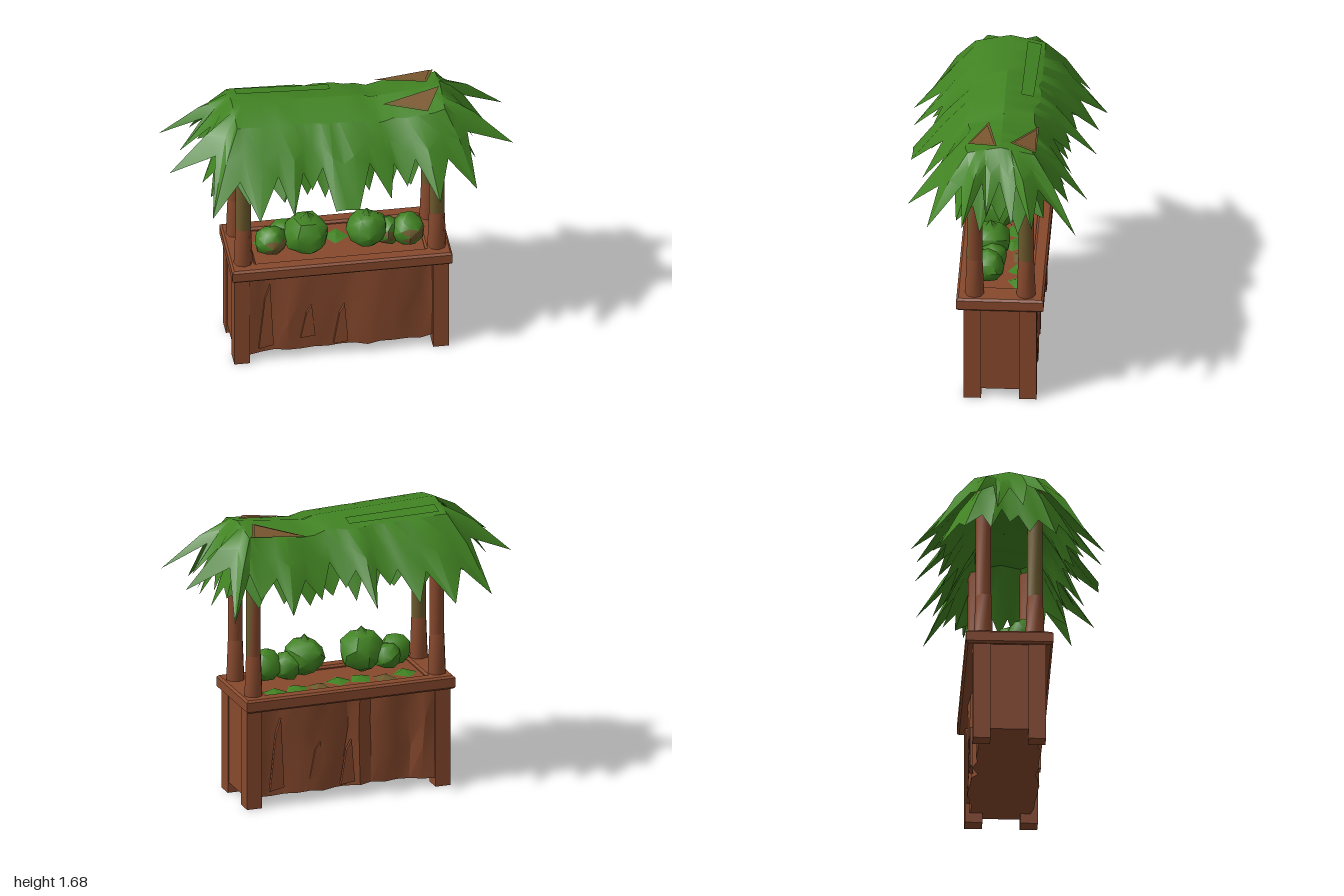
import * as THREE from 'three';
import { toCreasedNormals } from 'three/addons/utils/BufferGeometryUtils.js';

const mat = (name, color, side = THREE.FrontSide) => {
  const m = new THREE.MeshStandardMaterial({ color, side });
  m.name = name;
  return m;
};
const clamp = THREE.MathUtils.clamp;

// repeatable pseudo-random value in -1..1
const noise = (a, b = 0, c = 0) => {
  const s = Math.sin(a * 127.1 + b * 311.7 + c * 74.7) * 43758.5453;
  return (s - Math.floor(s)) * 2 - 1;
};

// gives triangles whose centre passes the test the second material
function paint(geo, test) {
  const a = geo.attributes.position;
  geo.clearGroups();
  for (let i = 0; i < a.count; i += 3) {
    const c = new THREE.Vector3();
    for (let j = i; j < i + 3; j++) c.add(new THREE.Vector3().fromBufferAttribute(a, j));
    geo.addGroup(i, 3, test(c.divideScalar(3)) ? 1 : 0);
  }
  return geo;
}

// sagging ridge: gentle slope, a small step, then up again
const ridgeY = x => x < 0.15 ? 1.655 + 0.025 * Math.min(1, (0.15 - x) / 0.7)
  : 1.635 + 0.042 * clamp((x - 0.2) / 0.4, 0, 1);
const shoulder = p => {
  const x = clamp(p.x * 0.85, -0.6, 0.6), z = clamp(p.z * 0.45, -0.2, 0.2);
  return new THREE.Vector3(x, ridgeY(x) - 0.22 * Math.abs(z), z);
};

// shell of pointed leaves around a ridge; tips run once round the roof
function canopy(tips, notch, bulge, drop) {
  const pos = [];
  const tri = (...v) => v.forEach(p => pos.push(p.x, p.y - drop, p.z));
  const n = tips.length;
  const ring = [];
  tips.forEach((t, i) => {
    const next = tips[(i + 1) % n];
    const mid = t.clone().lerp(next, 0.5);
    const s = shoulder(mid);
    const corner = Math.abs(mid.x) > 0.8;
    const blunt = mid.z > 0.5 && Math.abs(mid.x) < 0.03;
    const reach = blunt ? 0.99 : corner ? 0.46 : notch + 0.08 * noise(i, 3);
    ring.push({ s: shoulder(t), e: t });
    ring.push({ s, e: s.clone().lerp(mid, reach) });
  });
  ring.forEach((r, i) => {
    const isTip = i % 2 === 0;
    r.m = r.s.clone().lerp(r.e, isTip ? 0.45 : 0.5);
    r.m.y += isTip ? bulge : bulge * 0.3;
    const x = clamp(r.s.x, -0.54, 0.54);
    r.r = new THREE.Vector3(x, ridgeY(x), 0);
  });
  ring.forEach((a, i) => {
    const b = ring[(i + 1) % ring.length];
    for (const [u, v] of [['r', 's'], ['s', 'm'], ['m', 'e']]) {
      tri(a[u], b[v], a[v]);
      if (a[u].distanceTo(b[u]) > 1e-4) tri(a[u], b[u], b[v]);
    }
  });
  const g = new THREE.BufferGeometry();
  g.setAttribute('position', new THREE.Float32BufferAttribute(pos, 3));
  return toCreasedNormals(g, 0.6);
}

export function createModel() {
  const model = new THREE.Group();
  const wood = mat('brown wood', 0x87492d);
  const mossy = mat('mossy wood', 0x6d5a2d, THREE.DoubleSide);
  const leaf = mat('green leaf', 0x418322, THREE.DoubleSide);
  const dry = mat('dry leaf', 0x7a5630, THREE.DoubleSide);
  const add = (name, geo, material, x = 0, y = 0, z = 0, parent = model) => {
    const m = new THREE.Mesh(geo, material);
    m.name = name;
    m.position.set(x, y, z);
    parent.add(m);
    return m;
  };

  // counter body with rough, folded boards
  const body = new THREE.BoxGeometry(1.22, 0.55, 0.4, 16, 3, 1);
  const p = body.attributes.position;
  for (let i = 0; i < p.count; i++) {
    const x = p.getX(i), y = p.getY(i), z = p.getZ(i);
    const c = Math.round(x * 100), r = Math.round(y * 100);
    if (Math.abs(x) < 0.6) {
      p.setZ(i, z - Math.sign(z) * 0.02 * (1 + noise(c, 1, Math.sign(z)) + 0.4 * noise(c, r, Math.sign(z))));
      if (Math.abs(y) < 0.2) p.setX(i, x + 0.022 * noise(c, r));
      if (y < -0.27) p.setY(i, y + 0.008 * noise(c, 7));
    }
  }
  add('counterBody', toCreasedNormals(body, 0.6), wood, 0, 0.335, 0);

  // narrow wedge-shaped boards on front and back
  const wedge = new THREE.Shape([[-0.035, 0], [0.05, 0.01], [0.03, 0.24], [0, 0.19]].map(a => new THREE.Vector2(...a)));
  const wedgeGeo = new THREE.ExtrudeGeometry(wedge, { depth: 0.02, bevelEnabled: false });
  for (const side of [1, -1]) {
    [[-0.44, 0.09, 1.8], [-0.2, 0.14, 0.9], [-0.01, 0.08, 1.1]].forEach(([x, y, h]) => {
      const w = add('wedgeBoard', wedgeGeo, wood, x * side, y, 0.182 * side);
      w.scale.set(1, h, 1);
      w.rotation.y = side > 0 ? 0 : Math.PI;
    });
  }

  // corner legs
  for (const sx of [1, -1]) for (const sz of [1, -1]) {
    add('leg', new THREE.BoxGeometry(0.09, 0.6, 0.1), wood, 0.573 * sx, 0.3, 0.158 * sz);
  }

  // counter rim with a shallow tray
  const rect = (S, w, d) => {
    const s = new S();
    s.moveTo(-w, -d); s.lineTo(w, -d); s.lineTo(w, d); s.lineTo(-w, d); s.closePath();
    return s;
  };
  const rim = rect(THREE.Shape, 0.622, 0.237);
  rim.holes.push(rect(THREE.Path, 0.5, 0.18));
  const rimGeo = new THREE.ExtrudeGeometry(rim, { depth: 0.055, bevelSize: 0.012, bevelThickness: 0.012, bevelSegments: 1 });
  rimGeo.rotateX(-Math.PI / 2);
  add('counterRim', rimGeo, wood, 0, 0.602, 0);
  add('trayFloor', new THREE.BoxGeometry(1.02, 0.03, 0.38), wood, 0, 0.635, 0);

  // roof posts; the upper parts are weathered on some sides
  const weathered = (sx, sz) => c => {
    if (sx < 0) return sz > 0;
    return sz > 0 ? c.z > 0.02 : c.x > 0.015 || c.z > 0.015;
  };
  for (const sx of [1, -1]) for (const sz of [1, -1]) {
    const post = new THREE.Group();
    post.name = 'post';
    post.position.set(0.558 * sx, 0.66, 0.147 * sz);
    const piece = (a, b, h, y, test) => {
      const g = toCreasedNormals(new THREE.CylinderGeometry(a, b, h, 8).toNonIndexed(), 0.9);
      add('postPart', paint(g, test), [wood, mossy], 0, y + h / 2, 0, post);
    };
    piece(0.045, 0.055, 0.25, 0, () => false);
    piece(0.043, 0.045, 0.66, 0.25, weathered(sx, sz));
    model.add(post);
  }

  // leafy heads lying on the counter; the smaller ones have dry faces in front
  const heads = [[-0.18, 0.775, 0.07, 0.132], [-0.39, 0.755, 0.085, 0.095], [0.165, 0.78, 0.075, 0.118],
    [0.4, 0.755, 0.08, 0.1], [0.28, 0.74, 0.06, 0.088], [-0.31, 0.75, 0.01, 0.085]];
  heads.forEach(([x, y, z, r], k) => {
    const g = new THREE.IcosahedronGeometry(r, 1);
    const a = g.attributes.position;
    for (let i = 0; i < a.count; i++) {
      const q = [a.getX(i), a.getY(i), a.getZ(i)].map(v => Math.round(v / r * 50));
      const f = 1 + 0.09 * noise(q[0] + k, q[1], q[2]);
      a.setXYZ(i, a.getX(i) * f, a.getY(i) * f * 0.92, a.getZ(i) * f);
    }
    const small = r < 0.11;
    const isDry = c => small && c.z > 0.45 * r && c.x > -0.3 * r && Math.abs(c.y + 0.07 * r) < 0.42 * r;
    add('leafyHead', paint(toCreasedNormals(g, 0.7), isDry), [leaf, mossy], x, y, z);
    if (!small) {
      const top = add('topLeaf', new THREE.ConeGeometry(r * 0.5, 0.06, 4), leaf, x, y + r * 0.9, z);
      top.rotation.y = 0.4;
    }
  });

  // loose flat leaves in the tray, some dried
  for (let i = 0; i < 7; i++) {
    const l = add('looseLeaf', new THREE.ConeGeometry(0.09, 0.03, 4), i % 3 === 1 ? mossy : leaf,
      -0.4 + i * 0.135, 0.66, -0.06 + 0.05 * noise(i, 5));
    l.rotation.y = i;
  }

  // outer leaf tips [x, y, z] going once round the roof
  const tips = [
    [-0.78, 1.2, 0.45], [-0.52, 1.22, 0.55], [-0.32, 1.23, 0.54], [-0.2, 1.32, 0.42], [-0.08, 1.235, 0.53],
    [0.055, 1.235, 0.535], [0.25, 1.24, 0.46], [0.35, 1.28, 0.41], [0.52, 1.23, 0.53],
    [0.75, 1.22, 0.41], [0.99, 1.37, 0.2], [0.85, 1.36, 0.07], [0.88, 1.32, -0.08], [0.99, 1.37, -0.2],
    [0.78, 1.21, -0.44], [0.6, 1.32, -0.39], [0.44, 1.24, -0.49], [0.23, 1.28, -0.39], [0.08, 1.33, -0.38],
    [-0.06, 1.23, -0.52], [-0.18, 1.32, -0.4], [-0.32, 1.23, -0.52], [-0.52, 1.22, -0.56], [-0.78, 1.21, -0.45],
    [-0.99, 1.37, -0.2], [-0.89, 1.32, -0.08], [-0.84, 1.36, 0.07], [-0.99, 1.37, 0.2],
  ].map(t => new THREE.Vector3(...t));
  add('roofLeaves', canopy(tips, 0.57, 0.037, 0), leaf);

  // inner, steeper layer of shorter leaves
  const inner = tips.map((t, i) => {
    const m = t.clone().lerp(tips[(i + 1) % tips.length], 0.5);
    return new THREE.Vector3(m.x * 0.86, 1.29 + 0.05 * noise(i, 9), m.z * 0.8);
  });
  add('innerLeaves', canopy(inner, 0.7, 0.03, 0.025), leaf);

  // overlapping leaf strip and dry patches lying on the roof top
  const onRoof = (name, pts, m, lift) => {
    const g = new THREE.BufferGeometry();
    const v = pts.flatMap(([x, z]) => [x, ridgeY(x) - 0.22 * Math.abs(z) + lift, z]);
    g.setAttribute('position', new THREE.Float32BufferAttribute(v, 3));
    g.setIndex(pts.length === 4 ? [0, 1, 2, 0, 2, 3] : [0, 1, 2]);
    g.computeVertexNormals();
    add(name, g, m);
  };
  onRoof('topLeafStrip', [[-0.56, -0.1], [-0.02, -0.09], [-0.02, -0.16], [-0.56, -0.18]], leaf, 0.008);
  onRoof('mossyPatch', [[0.25, -0.205], [0.53, -0.055], [0.59, -0.205]], mossy, 0.009);
  onRoof('mossyPatch', [[0.26, 0.08], [0.5, 0.19], [0.59, 0.02]], mossy, 0.009);
  onRoof('dryPatch', [[0.3, -0.195], [0.525, -0.075], [0.57, -0.2]], dry, 0.014);
  onRoof('dryPatch', [[0.31, 0.085], [0.5, 0.175], [0.57, 0.035]], dry, 0.014);
  return model;
}
